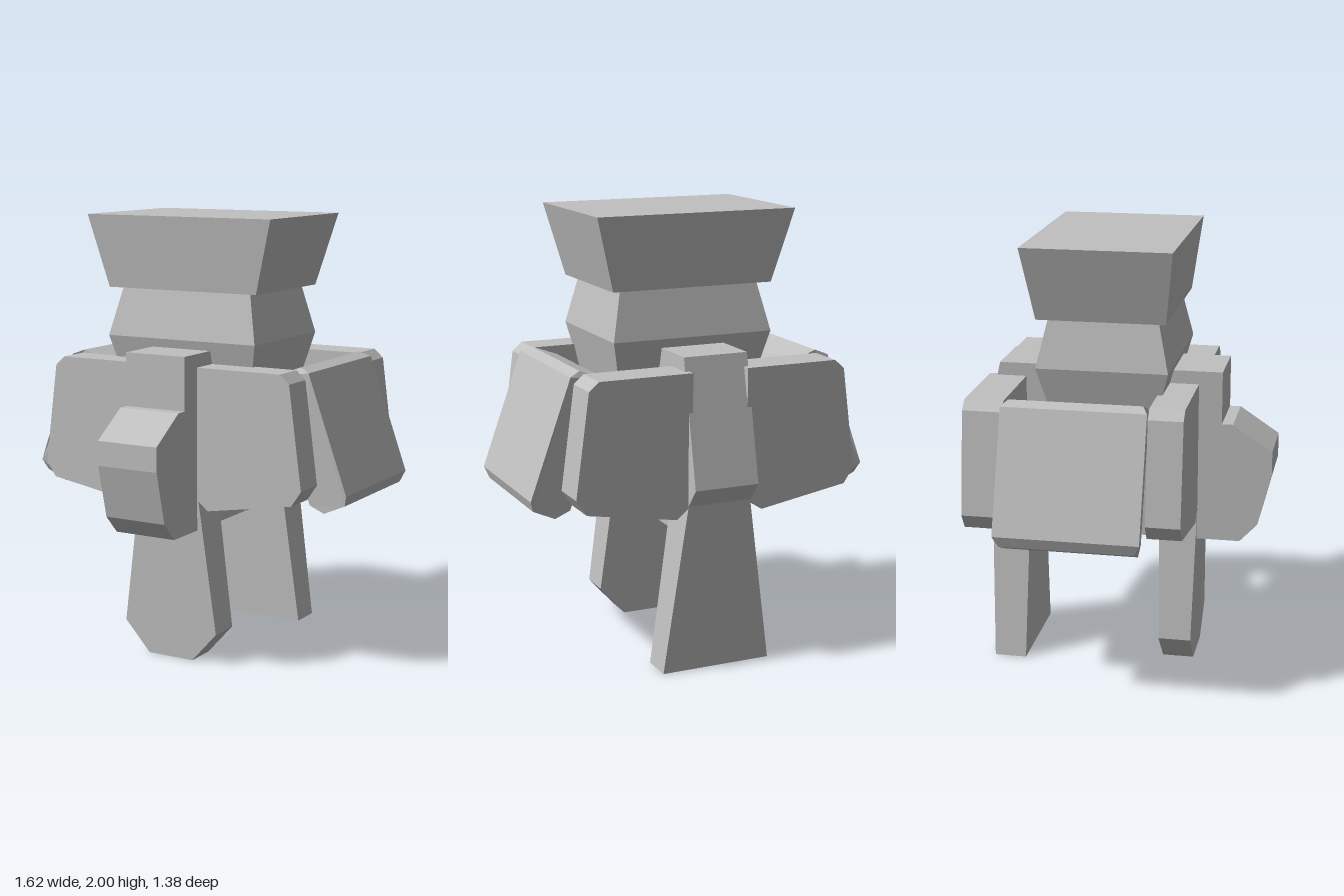
import * as THREE from 'three';

const grey = new THREE.MeshStandardMaterial({ color: 0xc0c0c0 });

function part(name, geometry) {
  geometry.computeVertexNormals();
  const mesh = new THREE.Mesh(geometry, grey);
  mesh.name = name;
  return mesh;
}

// Extrude an outline from z = -0.5 to 0.5, then place each corner's depth by a rule
function slab(points, place) {
  const shape = new THREE.Shape(points.map(([x, y]) => new THREE.Vector2(x, y)));
  const g = new THREE.ExtrudeGeometry(shape, { depth: 1, bevelEnabled: false });
  g.translate(0, 0, -0.5);
  const p = g.attributes.position;
  for (let i = 0; i < p.count; i++) {
    p.setZ(i, place(Math.sign(p.getZ(i)), p.getX(i), p.getY(i)));
  }
  return g;
}

// Box with different top and bottom: [y, half width, front z, back z]
function taperedBox(bottom, top) {
  const g = new THREE.BoxGeometry(2, 2, 2);
  const p = g.attributes.position;
  for (let i = 0; i < p.count; i++) {
    const [y, w, front, back] = p.getY(i) > 0 ? top : bottom;
    p.setXYZ(i, p.getX(i) * w, y, p.getZ(i) > 0 ? front : back);
  }
  return g;
}

export function createModel() {
  const model = new THREE.Group();
  model.name = 'armouredWaist';

  // Torso block and the two tapering waist rings
  model.add(
    part('torsoBlock', taperedBox([1.67, 0.38, 0.24, -0.335], [2, 0.47, 0.28, -0.385])),
    part('upperWaist', taperedBox([1.45, 0.38, 0.25, -0.34], [1.67, 0.33, 0.2, -0.29])),
    part('lowerWaist', taperedBox([1.23, 0.33, 0.19, -0.28], [1.45, 0.38, 0.25, -0.34])),
  );

  // Central hip body, drawn from the side as (z, y)
  const hip = slab([
    [0.46, 1.41], [0.46, 1.17], [0.51, 1.17], [0.69, 1.05], [0.69, 0.94],
    [0.63, 0.7], [0.55, 0.615], [-0.42, 0.615], [-0.43, 0.74], [-0.61, 0.76],
    [-0.685, 0.85], [-0.56, 1.41],
  ], (s) => s * 0.15);
  hip.rotateY(-Math.PI / 2);
  model.add(part('hipBody', hip));

  // Hanging flaps at front and back, thinner towards the foot
  const frontFlap = slab(
    [[-0.13, 0.95], [-0.24, 0.14], [-0.115, 0], [0.115, 0], [0.24, 0.14], [0.13, 0.95]],
    (s, x, y) => 0.267 + s * (0.072 + 0.02 * y));
  model.add(part('frontFlap', frontFlap));
  model.add(part('backFlap', taperedBox([0, 0.257, -0.44, -0.588], [0.95, 0.122, -0.427, -0.617])));

  for (const side of [1, -1]) {
    const label = side > 0 ? 'left' : 'right';
    const mirror = (pts) => pts.map(([x, y]) => [x * side, y]);

    // Front and back skirt plates
    const skirt = mirror([
      [0.13, 1.35], [0.56, 1.35], [0.605, 1.31], [0.667, 0.85],
      [0.62, 0.78], [0.205, 0.71], [0.13, 0.77],
    ]);
    model.add(part(label + 'FrontSkirt', slab(skirt, (s) => 0.277 + s * 0.077)));
    model.add(part(label + 'BackSkirt', slab(skirt, (s) => -0.525 + s * 0.087)));

    // Slanted side skirt, bevelled on its inner, upper and lower edges
    const outline = mirror([
      [0.57, 1.36], [0.62, 1.34], [0.808, 0.815], [0.79, 0.765],
      [0.69, 0.72], [0.62, 0.75], [0.43, 1.28], [0.45, 1.315],
    ]);
    const sideSkirt = slab(outline, (s, x, y) => {
      const ax = Math.abs(x);
      const bevelled = y < 0.77 || y > 1.35 || ax < 0.5;
      return -0.12 + s * (bevelled ? 0.295 : 0.32);
    });
    model.add(part(label + 'SideSkirt', sideSkirt));
  }
  return model;
}
